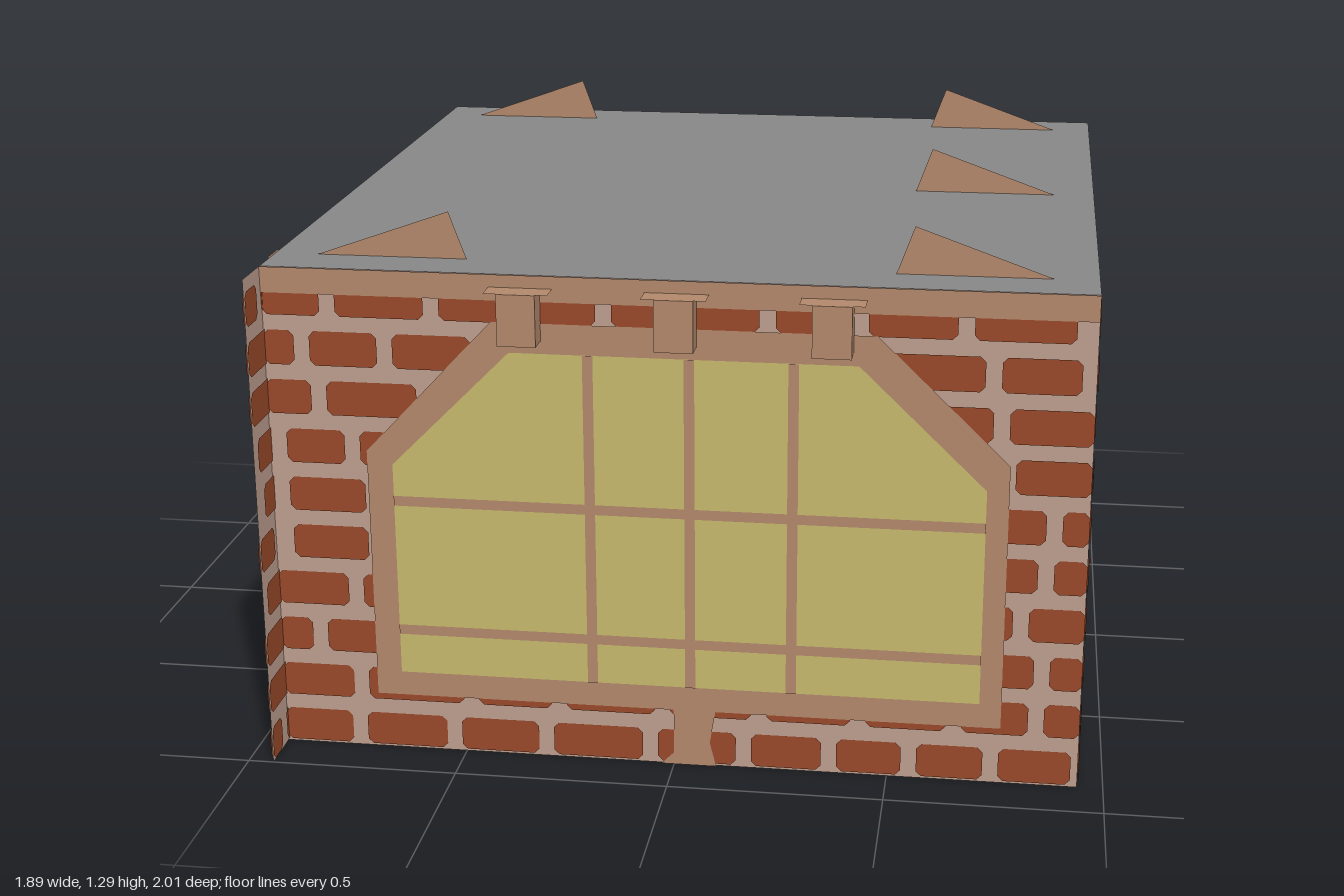
import * as THREE from 'three';
import { mergeGeometries } from 'three/addons/utils/BufferGeometryUtils.js';

const mat = (name, color) =>
  new THREE.MeshStandardMaterial({ name, color, side: THREE.DoubleSide });

const X = 0.94, BACK = -1, FRONT = 0.88, H = 1.18, ROW = H / 10;

function polygon(points) {
  return new THREE.Shape(points.map(([x, y]) => new THREE.Vector2(x, y)));
}

function seeded(seed) {
  return () => (seed = (seed * 16807) % 2147483647) / 2147483647;
}

export function createModel() {
  const mortar = mat('mortar', 0xc0a090);
  const brick = mat('brick', 0x9b4a2a);
  const timber = mat('timber', 0xb48a6c);
  const glass = mat('window glass', 0xc8bb6e);
  const slate = mat('roof grey', 0x888888);
  const boards = mat('floor brown', 0x84602a);

  const model = new THREE.Group();
  model.name = 'brickHouse';

  function add(parent, name, geometry, material, x = 0, y = 0, z = 0) {
    const mesh = new THREE.Mesh(geometry, material);
    mesh.name = name;
    mesh.position.set(x, y, z);
    parent.add(mesh);
    return mesh;
  }
  const flat = (shape) => new THREE.ShapeGeometry(shape);

  // One brick face with clipped corners
  function brickFace(a, b, y0, y1) {
    const c = Math.min(0.012, (b - a) / 3);
    return flat(polygon([
      [a + c, y0], [b - c, y0], [b, y0 + c], [b, y1 - c],
      [b - c, y1], [a + c, y1], [a, y1 - c], [a, y0 + c],
    ]));
  }

  // Courses of staggered bricks from u0 to u1, leaving out a doorway
  function brickCourses(u0, u1, seed, door) {
    const random = seeded(seed), faces = [];
    for (let row = 0; row < 10; row++) {
      const y0 = row * ROW + 0.006, y1 = y0 + 0.082;
      let u = u0 - 0.2 * random();
      while (u < u1) {
        const width = 0.13 + 0.1 * random();
        const a = Math.max(u, u0), b = Math.min(u + width, u1);
        const pieces = door && y0 < door.top
          ? [[a, Math.min(b, door.left)], [Math.max(a, door.right), b]]
          : [[a, b]];
        for (const [p, q] of pieces) if (q - p > 0.015) faces.push(brickFace(p, q, y0, y1));
        u += width + 0.036;
      }
    }
    return mergeGeometries(faces);
  }

  // Thin wall, bricked on both sides, with an optional door outline (left to right)
  function wall(name, u0, u1, seed, opening) {
    const group = new THREE.Group();
    group.name = name;
    const outline = [[u0, 0], ...(opening || []), [u1, 0], [u1, H], [u0, H]];
    add(group, name + 'Mortar', flat(polygon(outline)), mortar);
    let door = null;
    if (opening) {
      const left = opening[0][0], right = opening[opening.length - 1][0];
      door = { left: left - 0.05, right: right + 0.05, top: 0.46 };
      // Door surround follows the opening
      const outer = [[left - 0.05, 0], [left - 0.05, 0.44], [left - 0.08, 0.53],
        [left - 0.02, 0.51], [right + 0.02, 0.51], [right + 0.08, 0.53],
        [right + 0.05, 0.44], [right + 0.05, 0]];
      const surround = flat(polygon([...outer, ...opening.slice().reverse()]));
      for (const z of [-0.006, 0.006]) add(group, 'doorSurround', surround, timber, 0, 0, z);
    }
    const courses = brickCourses(u0, u1, seed, door);
    for (const z of [-0.003, 0.003]) add(group, name + 'Bricks', courses, brick, 0, 0, z);
    model.add(group);
    return group;
  }

  // Walls; the one at -x runs on past the front
  const front = wall('frontWall', -X, X, 71);
  front.position.z = FRONT;

  const back = wall('backWall', -X, X, 905,
    [[-0.12, 0], [-0.12, 0.46], [0.12, 0.46], [0.12, 0]]);
  back.position.z = BACK;
  back.rotation.y = Math.PI;

  const plainSide = wall('plainSideWall', -FRONT, -BACK, 3331);
  plainSide.position.x = X;
  plainSide.rotation.y = Math.PI / 2;

  const doorSide = wall('doorSideWall', BACK, 1, 52017,
    [[-0.06, 0], [-0.06, 0.43], [-0.02, 0.46], [0.13, 0.46], [0.19, 0.39], [0.19, 0]]);
  doorSide.position.x = -X;
  doorSide.rotation.y = -Math.PI / 2;
  add(doorSide, 'sidePost', new THREE.PlaneGeometry(0.08, H), timber, 0.76, H / 2, 0.006);

  // Roof and floor
  const slab = new THREE.PlaneGeometry(2 * X, FRONT - BACK).rotateX(-Math.PI / 2);
  const midZ = (FRONT + BACK) / 2;
  add(model, 'roof', slab, slate, 0, H, midZ);
  add(model, 'floor', slab, boards, 0, 0.002, midZ);

  // Front trim: top beam, window frame and foot
  add(front, 'topBeam', new THREE.PlaneGeometry(2 * X, 0.06), timber, 0, 1.15, 0.005);
  add(front, 'windowFrame', flat(polygon([
    [-0.71, 0.14], [0.76, 0.14], [0.76, 0.78], [0.46, 1.07], [-0.41, 1.07], [-0.71, 0.75],
  ])), timber, 0, 0, 0.005);
  add(front, 'windowFoot', flat(polygon([
    [-0.03, 0], [0.1, 0], [0.085, 0.06], [0.1, 0.15], [0, 0.15], [0, 0.03],
  ])), timber, 0, 0, 0.005);
  add(front, 'windowGlass', flat(polygon([
    [-0.65, 0.2], [0.71, 0.2], [0.71, 0.72], [0.42, 1], [-0.37, 1], [-0.65, 0.72],
  ])), glass, 0, 0, 0.007);

  // Glazing bars
  for (const x of [-0.19, 0.04, 0.275])
    add(front, 'uprightBar', new THREE.PlaneGeometry(0.024, 0.8), timber, x, 0.6, 0.009);
  for (const y of [0.31, 0.632])
    add(front, 'crossBar', new THREE.PlaneGeometry(1.36, 0.024), timber, 0.03, y, 0.009);

  // Brackets above the window, each with a wider cap plate
  for (const x of [-0.34, 0.013, 0.363]) {
    add(front, 'bracket', new THREE.BoxGeometry(0.088, 0.12, 0.06), timber, x, 1.09, 0.03);
    add(front, 'bracketCap', new THREE.PlaneGeometry(0.145, 0.06).rotateX(-Math.PI / 2),
      timber, x, 1.151, 0.03);
  }

  // Flat pointed fins standing on the roof
  const fin = flat(polygon([[0.49, 0], [0.84, 0], [0.53, 0.11]]));
  for (const [side, z] of [[1, 0.76], [1, -0.06], [1, -0.88], [-1, 0.76], [-1, -0.88]]) {
    const mesh = add(model, 'roofFin', fin, timber, 0, H, z);
    if (side < 0) mesh.rotation.y = Math.PI;
  }

  return model;
}
